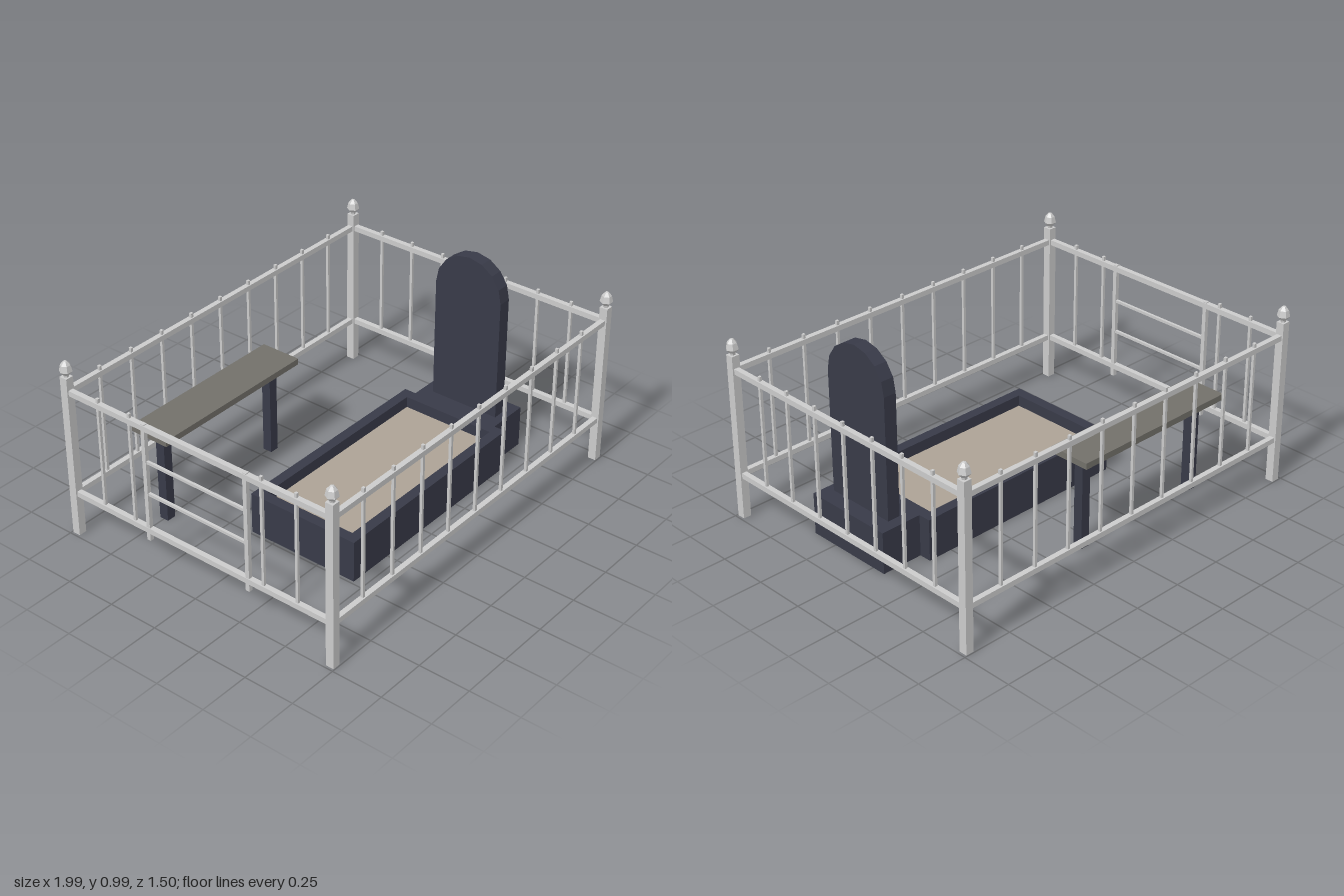
import * as THREE from 'three';

const mat = (color) => new THREE.MeshStandardMaterial({ color, flatShading: true });

export function createModel() {
  const root = new THREE.Group();
  const metal = mat(0xcccccc), stone = mat(0x383a48), soilMat = mat(0xaca295), wood = mat(0x72706a);

  // Box given by its min and max on each axis
  function box(parent, name, material, [x0, x1], [y0, y1], [z0, z1]) {
    const mesh = new THREE.Mesh(new THREE.BoxGeometry(x1 - x0, y1 - y0, z1 - z0), material);
    mesh.position.set((x0 + x1) / 2, (y0 + y1) / 2, (z0 + z1) / 2);
    mesh.name = name;
    parent.add(mesh);
    return mesh;
  }
  const around = (c, w) => [c - w / 2, c + w / 2];
  function group(name) {
    const g = new THREE.Group();
    g.name = name;
    root.add(g);
    return g;
  }

  const X = 0.967, Z = 0.725, GATE = 0.28;

  // Corner posts with six-sided bud finials
  const posts = group('cornerPosts');
  const profile = [[0, 0.81], [0.012, 0.81], [0.014, 0.82], [0.03, 0.838], [0.023, 0.868], [0.009, 0.885], [0, 0.888]]
    .map(([r, y]) => new THREE.Vector2(r, y));
  const finialGeo = new THREE.LatheGeometry(profile, 6);
  finialGeo.rotateY(Math.PI / 6);
  for (const sx of [-1, 1]) for (const sz of [-1, 1]) {
    box(posts, 'post', metal, around(sx * X, 0.04), [0, 0.81], around(sz * Z, 0.04));
    const finial = new THREE.Mesh(finialGeo, metal);
    finial.position.set(sx * X, 0, sz * Z);
    finial.name = 'finial';
    posts.add(finial);
  }

  // Front and back fence panels
  const BAR = [0.205, 0.772];
  for (const s of [-1, 1]) {
    const panel = group(s > 0 ? 'frontFence' : 'backFence');
    for (const y of [0.218, 0.738]) {
      box(panel, 'rail', metal, [-X, X], around(y, 0.026), around(s * Z, 0.026));
    }
    for (let i = 1; i < 10; i++) {
      box(panel, 'bar', metal, around(-X + i * X / 5, 0.013), BAR, around(s * Z, 0.013));
    }
  }

  // Side fence panels; the one on the right leaves room for the gate
  for (const s of [-1, 1]) {
    const panel = group(s > 0 ? 'leftFence' : 'rightFence');
    for (const y of [0.218, 0.738]) {
      box(panel, 'rail', metal, around(s * X, 0.026), around(y, 0.026), [-Z, Z]);
    }
    for (let i = 1; i < 8; i++) {
      const z = -Z + i * Z / 4;
      if (s < 0 && Math.abs(z) < GATE) continue;
      box(panel, 'bar', metal, around(s * X, 0.013), BAR, around(z, 0.013));
    }
  }

  // Gate with two stiles and two cross bars
  const gate = group('gate');
  for (const s of [-1, 1]) {
    box(gate, 'gateStile', metal, around(-X, 0.02), [0.165, 0.755], around(s * GATE, 0.02));
  }
  for (const y of [0.405, 0.567]) {
    box(gate, 'gateBar', metal, around(-X, 0.013), around(y, 0.013), [-GATE, GATE]);
  }

  // Curb around the planting bed
  const bed = group('bed');
  const TOP = [0, 0.205];
  for (const z of [[-0.13, -0.08], [0.397, 0.447]]) box(bed, 'sideCurb', stone, [-0.485, 0.625], TOP, z);
  for (const x of [[-0.485, -0.433], [0.573, 0.625]]) box(bed, 'endCurb', stone, x, TOP, [-0.08, 0.397]);
  box(bed, 'soil', soilMat, [-0.433, 0.573], [0.003, 0.15], [-0.08, 0.397]);

  // Arched slab on its plinth
  box(root, 'plinth', stone, [0.625, 0.835], TOP, [-0.07, 0.388]);
  const arch = new THREE.Shape();
  arch.moveTo(-0.18, 0.205);
  arch.lineTo(0.18, 0.205);
  for (let i = 0; i <= 8; i++) {
    const a = i * Math.PI / 8;
    arch.lineTo(0.18 * Math.cos(a), 0.805 + 0.18 * Math.sin(a));
  }
  arch.closePath();
  const slab = new THREE.Mesh(new THREE.ExtrudeGeometry(arch, { depth: 0.065, bevelEnabled: false }), stone);
  slab.rotation.y = Math.PI / 2;
  slab.position.set(0.69, 0, 0.165);
  slab.name = 'archedSlab';
  root.add(slab);

  // Bench
  const bench = group('bench');
  box(bench, 'seat', wood, [-0.725, 0.157], [0.462, 0.492], [-0.605, -0.397]);
  for (const x of [-0.638, 0.069]) {
    box(bench, 'benchLeg', stone, around(x, 0.047), [0, 0.462], around(-0.5, 0.047));
  }

  return root;
}
